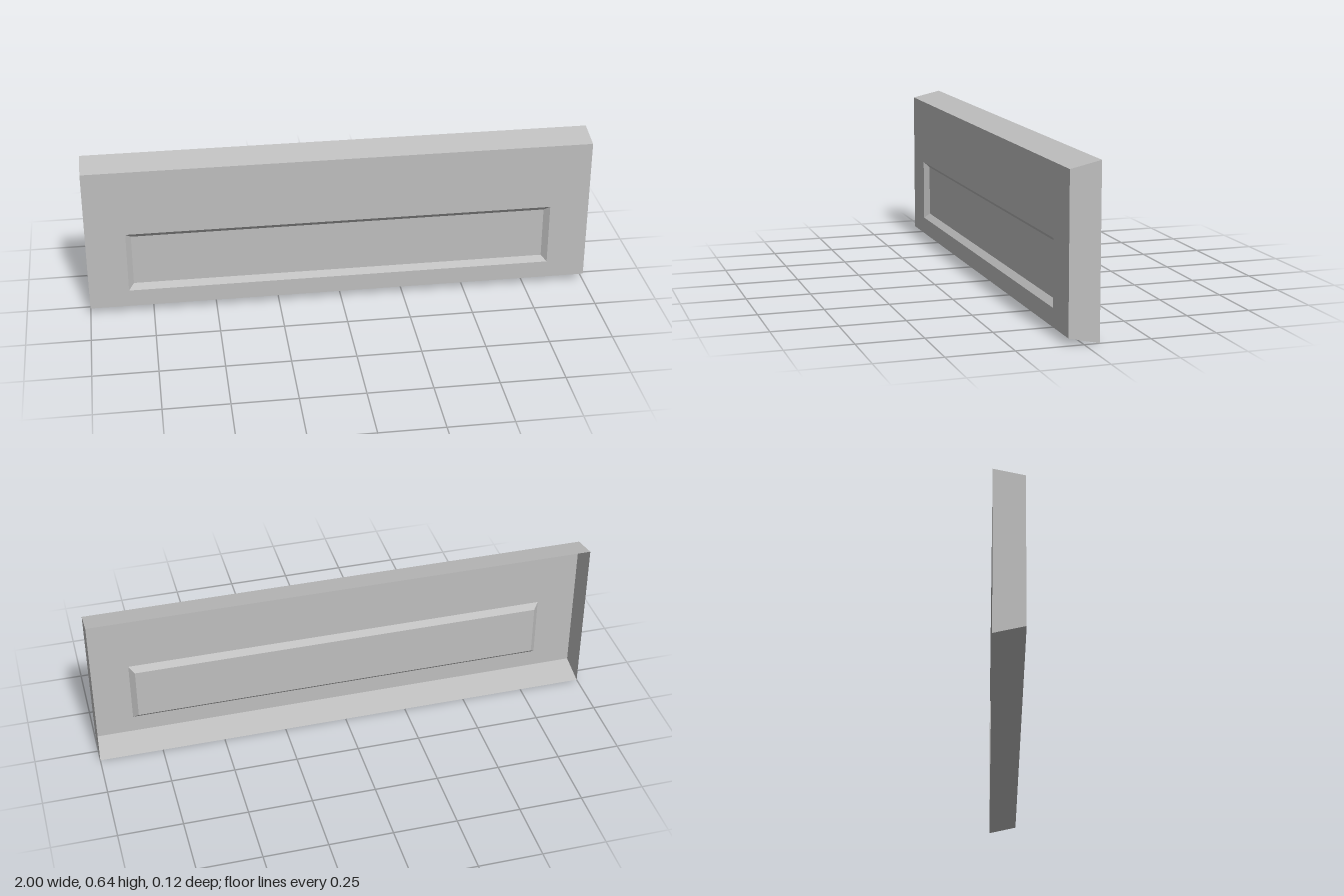
import * as THREE from 'three';

// Rectangular loop, counter-clockwise seen from the front
const loop = (x, y0, y1, z) => [[-x, y0, z], [x, y0, z], [x, y1, z], [-x, y1, z]];

// Flat quads with their own vertices, so every edge stays sharp
function quadMesh(name, quads, material) {
  const points = quads.flatMap(([a, b, c, d]) => [a, b, c, a, c, d]);
  const geometry = new THREE.BufferGeometry();
  geometry.setAttribute('position', new THREE.Float32BufferAttribute(points.flat(), 3));
  geometry.computeVertexNormals();
  const mesh = new THREE.Mesh(geometry, material);
  mesh.name = name;
  return mesh;
}

// Four quads joining an outer loop to an inner loop
const band = (outer, inner) => outer.map((p, i) => {
  const j = (i + 1) % 4;
  return [p, outer[j], inner[j], inner[i]];
});

export function createModel() {
  const grey = new THREE.MeshStandardMaterial({ color: 0xbfbfbf, side: THREE.DoubleSide });
  grey.name = 'plain grey';

  const backRim = loop(1, 0, 0.643, -0.058);
  const frontRim = loop(1, 0.027, 0.617, 0.058);
  const recessRim = loop(0.844, 0.097, 0.348, 0.058);
  const recessFloor = loop(0.823, 0.118, 0.327, 0.037);

  const group = new THREE.Group();
  group.name = 'panel';
  group.add(
    quadMesh('sideWalls', band(backRim, frontRim), grey), // open at the back
    quadMesh('frontFace', band(frontRim, recessRim), grey),
    quadMesh('recessBevel', band(recessRim, recessFloor), grey),
    quadMesh('recessFloor', [recessFloor], grey),
  );
  return group;
}
